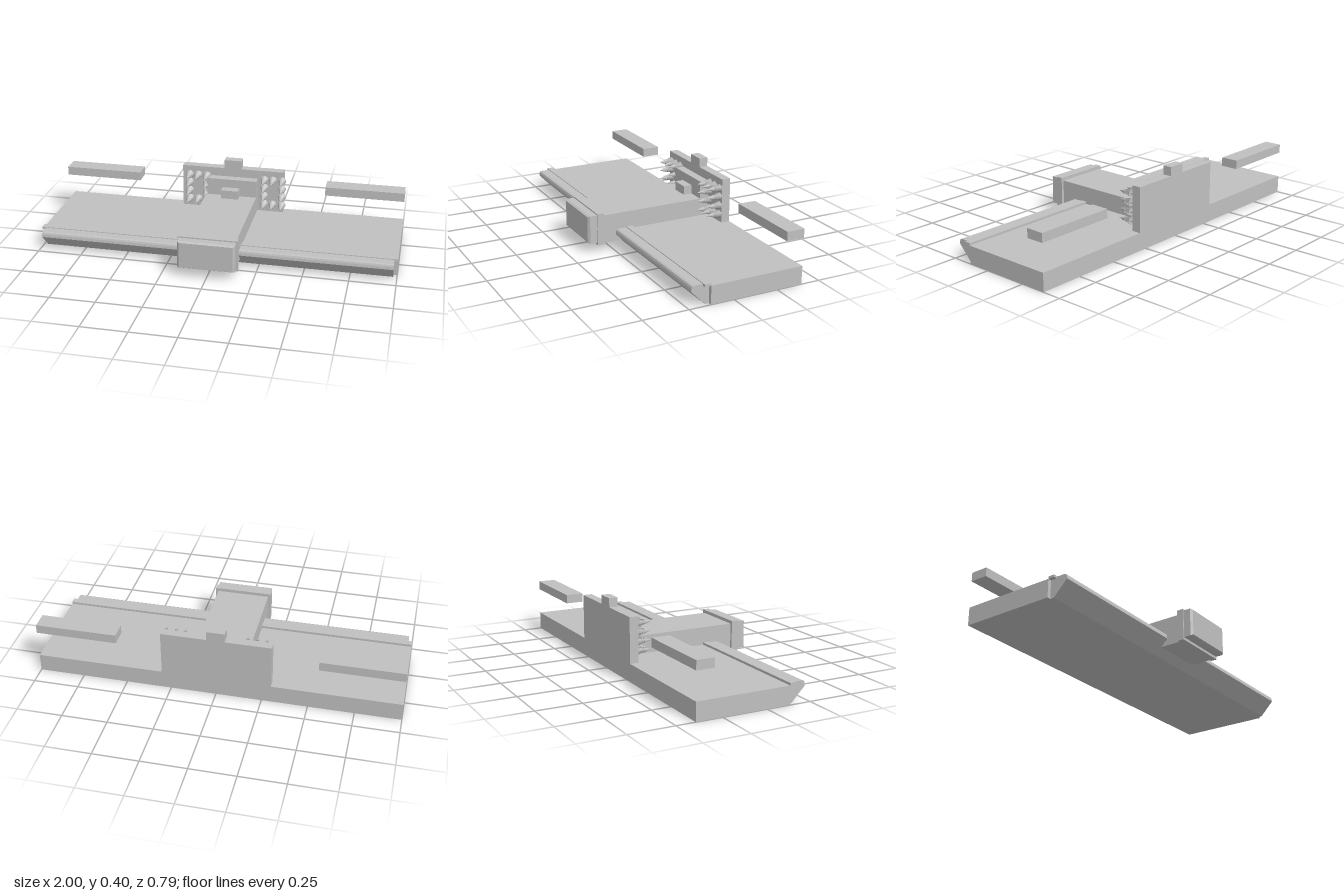
import * as THREE from 'three';
import { toCreasedNormals } from 'three/addons/utils/BufferGeometryUtils.js';

export function createModel() {
  const model = new THREE.Group();
  model.name = 'model';
  const grey = new THREE.MeshStandardMaterial({ color: 0xc0c0c0 });
  grey.name = 'plain grey';

  const add = (name, geometry) => {
    const mesh = new THREE.Mesh(geometry, grey);
    mesh.name = name;
    model.add(mesh);
    return mesh;
  };
  // Box given by its extents on each axis
  const box = (name, x0, x1, y0, y1, z0, z1) => {
    const mesh = add(name, new THREE.BoxGeometry(x1 - x0, y1 - y0, z1 - z0));
    mesh.position.set((x0 + x1) / 2, (y0 + y1) / 2, (z0 + z1) / 2);
    return mesh;
  };

  // Base slab with a raised trim strip along its front edge
  box('baseSlab', -1, 1, 0, 0.1, -0.395, 0.13);
  box('trimStrip', -1, 1, 0.1, 0.113, 0.13, 0.166);

  // Undercut front lip, profile in (z, y) swept along x
  const profile = [[0.13, 0], [0.152, 0], [0.23, 0.08], [0.228, 0.095], [0.224, 0.105], [0.216, 0.109], [0.13, 0.109]];
  const lipShape = new THREE.Shape(profile.map(([z, y]) => new THREE.Vector2(z, y)));
  const lip = new THREE.ExtrudeGeometry(lipShape, { depth: 1.96, bevelEnabled: false });
  lip.rotateY(-Math.PI / 2).translate(0.98, 0, 0);
  add('frontLip', lip);

  // Central beam and its flanged nose
  box('centralBeam', -0.148, 0.148, 0.04, 0.2, -0.295, 0.306);
  box('noseFlange', -0.163, 0.163, 0.04, 0.213, 0.306, 0.343);
  box('noseFlangeRidge', -0.163, 0.163, 0.2, 0.218, 0.306, 0.343);
  box('noseBlock', -0.157, 0.157, 0.054, 0.211, 0.343, 0.384);
  const bevel = new THREE.BoxGeometry(0.314, 0.157, 0.011);
  const p = bevel.attributes.position;
  for (let i = 0; i < p.count; i++) {
    if (p.getZ(i) > 0) p.setXY(i, p.getX(i) * 0.93, p.getY(i) * 0.92);
  }
  bevel.computeVertexNormals();
  add('noseBevel', bevel).position.set(0, 0.1325, 0.3895);

  // Stepped back panel
  box('backPanel', -0.3, 0.3, 0.1, 0.35, -0.395, -0.345);
  box('topTab', -0.05, 0.05, 0.35, 0.4, -0.395, -0.345);
  box('panelStep', -0.148, 0.148, 0.1, 0.3, -0.345, -0.295);
  box('beamStep', -0.05, 0.05, 0.2, 0.25, -0.295, -0.245);

  // Floating side bars
  box('leftBar', 0.55, 1, 0.25, 0.3, -0.395, -0.295);
  box('rightBar', -1, -0.55, 0.25, 0.3, -0.395, -0.295);

  // Barbed spikes: a thin stem, stacked cone tiers and a pointed tip
  const spikeProfile = [[0, 0], [0.006, 0], [0.006, 0.014]];
  for (let i = 0; i < 5; i++) {
    const r = 0.023 - i * 0.0022, h = 0.012 + i * 0.01;
    spikeProfile.push([r, h]);
    if (i < 4) spikeProfile.push([r - 0.009, h + 0.013]);
  }
  spikeProfile.push([0, 0.094]);
  const lathe = new THREE.LatheGeometry(spikeProfile.map(([r, h]) => new THREE.Vector2(r, h)), 12);
  lathe.rotateX(Math.PI / 2);
  const spikeGeometry = toCreasedNormals(lathe, 0.7);

  // Spikes form a rectangular ring on each side of the beam
  const rows = [0.303, 0.254, 0.203, 0.152];
  for (const [side, columns] of [['right', [-0.255, -0.205, -0.152]], ['left', [0.19, 0.24, 0.295]]]) {
    rows.forEach((y, row) => columns.forEach((x, col) => {
      if (col === 1 && (row === 1 || row === 2)) return;
      add(side + 'Spike', spikeGeometry).position.set(x, y, -0.345);
    }));
  }
  return model;
}
